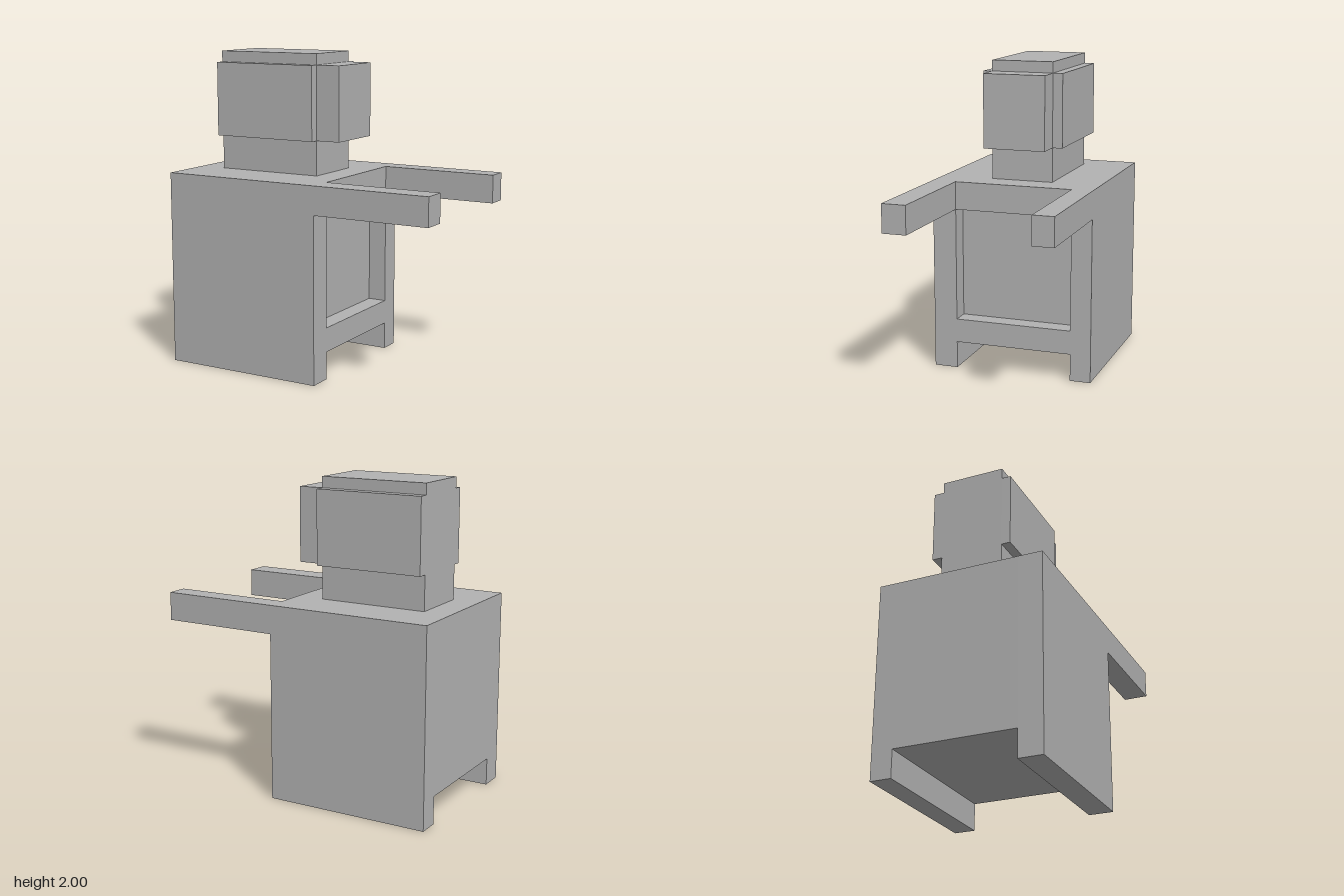
import * as THREE from 'three';

export function createModel() {
  const model = new THREE.Group();
  model.name = 'blockFigure';
  const grey = new THREE.MeshStandardMaterial({ color: 0xb2b2b2 });
  grey.name = 'plain grey';

  function add(name, geometry) {
    const mesh = new THREE.Mesh(geometry, grey);
    mesh.name = name;
    model.add(mesh);
    return mesh;
  }

  // Side outline in x and y, extruded from z0 to z1
  function slab(name, points, z0, z1) {
    const shape = new THREE.Shape(points.map(([x, y]) => new THREE.Vector2(x, y)));
    const geometry = new THREE.ExtrudeGeometry(shape, { depth: z1 - z0, bevelEnabled: false });
    add(name, geometry.translate(0, 0, z0));
  }

  // Box given by its limits on each axis
  function block(name, [x0, x1], [y0, y1], [z0, z1]) {
    add(name, new THREE.BoxGeometry(x1 - x0, y1 - y0, z1 - z0))
      .position.set((x0 + x1) / 2, (y0 + y1) / 2, (z0 + z1) / 2);
  }

  // Side walls, each with a foot below and an arm reaching out
  const wall = [[-0.91, 0], [0.15, 0], [0.15, 1.06], [0.91, 1.06], [0.91, 1.24], [-0.91, 1.24]];
  slab('frontWallAndArm', wall, 0.375, 0.53);
  slab('backWallAndArm', wall, -0.53, -0.395);

  // Torso between the walls, raised off the ground, with a recessed panel
  slab('torso', [
    [-0.91, 0.175], [0.15, 0.175], [0.15, 0.33], [0.03, 0.33],
    [0.03, 1.06], [0.15, 1.06], [0.15, 1.24], [-0.91, 1.24],
  ], -0.395, 0.375);

  // Head with raised plates on three sides
  const headX = [-0.735, -0.03];
  const headZ = [-0.213, 0.19];
  const plateY = [1.46, 1.93];
  block('head', headX, [1.24, 2], headZ);
  block('facePlate', [headX[1], 0.13], plateY, headZ);
  block('frontHeadPlate', headX, plateY, [headZ[1], 0.247]);
  block('backHeadPlate', headX, plateY, [-0.277, headZ[0]]);

  return model;
}
